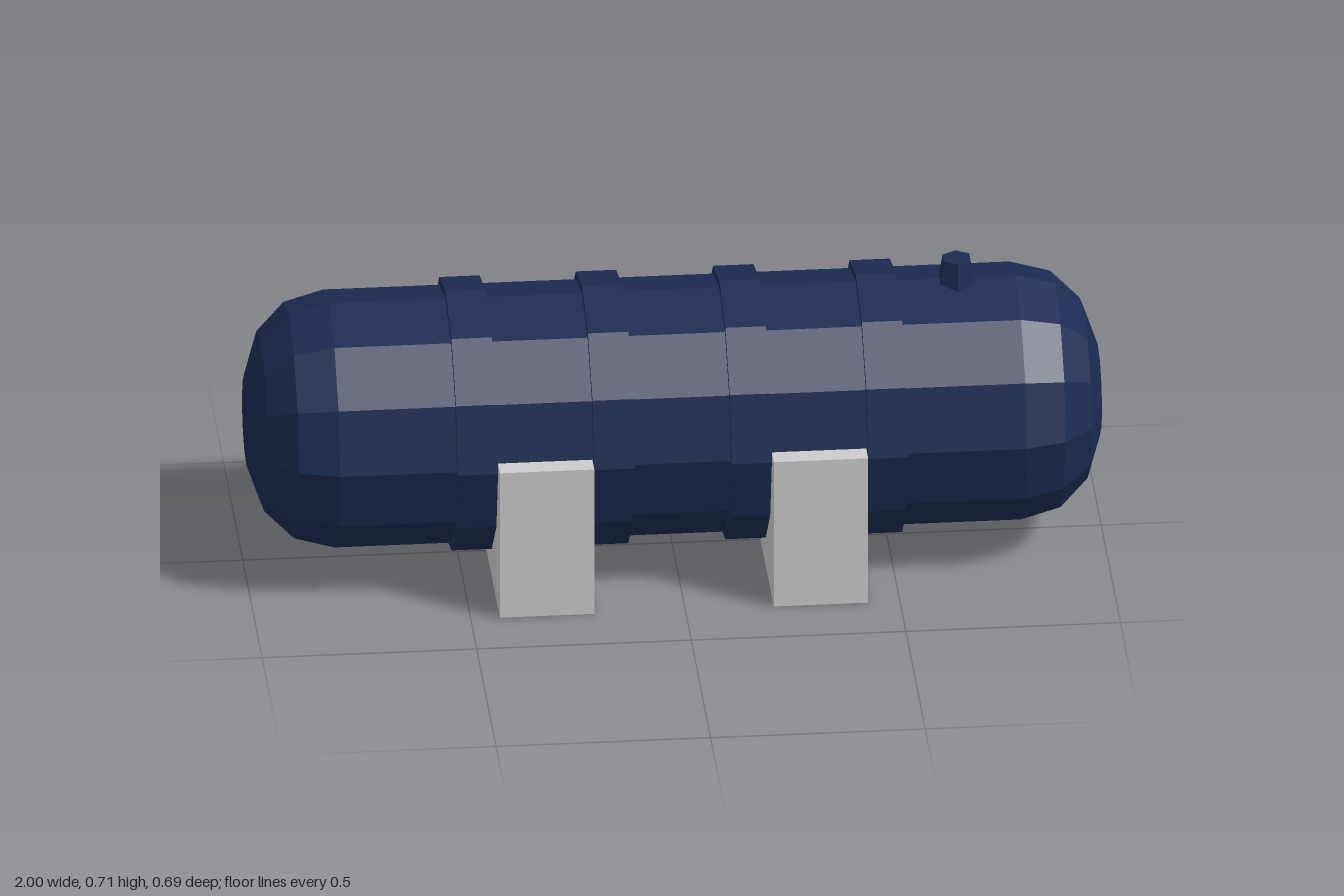
import * as THREE from 'three';

const AXIS_Y = 0.36;
const SIDES = 12;

export function createModel() {
  const model = new THREE.Group();
  model.name = 'storageTank';

  const paint = new THREE.MeshStandardMaterial({ color: 0x1b2b52, flatShading: true });
  const concrete = new THREE.MeshStandardMaterial({ color: 0xcccccc, flatShading: true });

  const add = (name, geometry, material, x, y) => {
    const mesh = new THREE.Mesh(geometry, material);
    mesh.name = name;
    mesh.position.set(x, y, 0);
    model.add(mesh);
    return mesh;
  };

  // Tank body with domed ends: half profile [radius, distance along the axis], mirrored
  const dome = [[0.3, 0.8], [0.275, 0.893], [0.21, 0.959], [0.112, 0.992], [0, 1]];
  const profile = [
    ...dome.map(([r, d]) => new THREE.Vector2(r, -d)).reverse(),
    ...dome.map(([r, d]) => new THREE.Vector2(r, d)),
  ];
  const body = new THREE.LatheGeometry(profile, SIDES).rotateZ(-Math.PI / 2);
  add('tankBody', body, paint, 0, AXIS_Y);

  // Raised bands on either side of each saddle
  const band = new THREE.CylinderGeometry(0.318, 0.318, 0.094, SIDES).rotateZ(-Math.PI / 2);
  [-0.481, -0.163, 0.157, 0.475].forEach((x, i) => add(`band${i + 1}`, band, paint, x, AXIS_Y));

  // Support blocks under the tank
  const saddle = new THREE.BoxGeometry(0.22, 0.376, 0.692);
  add('rightSaddle', saddle, concrete, -0.322, 0.188);
  add('leftSaddle', saddle, concrete, 0.316, 0.188);

  // Tapered hexagonal filler cap on top
  const cap = new THREE.CylinderGeometry(0.036, 0.048, 0.073, 6);
  add('fillerCap', cap, paint, 0.663, 0.6765);

  return model;
}
